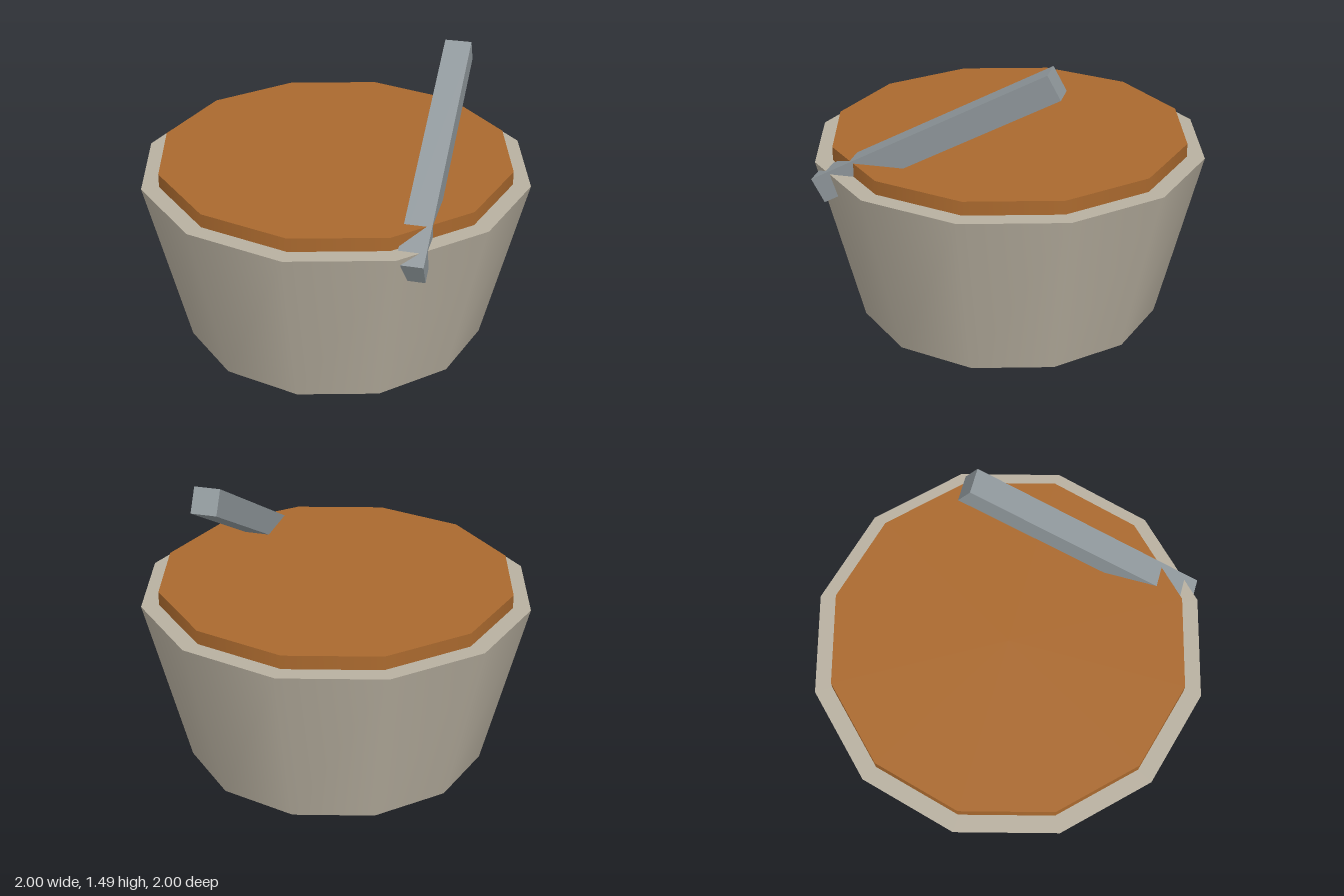
import * as THREE from 'three';

const stone = new THREE.MeshStandardMaterial({ color: 0xb8b0a0 });
stone.name = 'stone';
const filling = new THREE.MeshStandardMaterial({ color: 0xaa692e });
filling.name = 'orange filling';
const metal = new THREE.MeshStandardMaterial({ color: 0x8f979b });
metal.name = 'grey metal';

function addPart(group, name, geometry, material, x, y, z) {
  const mesh = new THREE.Mesh(geometry, material);
  mesh.name = name;
  mesh.position.set(x, y, z);
  group.add(mesh);
  return mesh;
}

export function createModel() {
  const group = new THREE.Group();
  group.name = 'filledBowl';

  // Tapered twelve-sided bowl with smooth sides and flat caps
  addPart(group, 'bowl', new THREE.CylinderGeometry(1, 0.78, 0.89, 12), stone, 0, 0.445, 0);

  // Filling disc standing slightly proud of the rim
  addPart(group, 'filling', new THREE.CylinderGeometry(0.91, 0.91, 0.14, 12), filling, 0, 0.89, 0);

  // Square handle leaning back, its lower end poking out over the rim
  const handle = addPart(group, 'handle', new THREE.BoxGeometry(0.133, 0.133, 1.333), metal, 0.555, 1.115, 0.225);
  handle.rotation.x = 0.5;

  return group;
}
